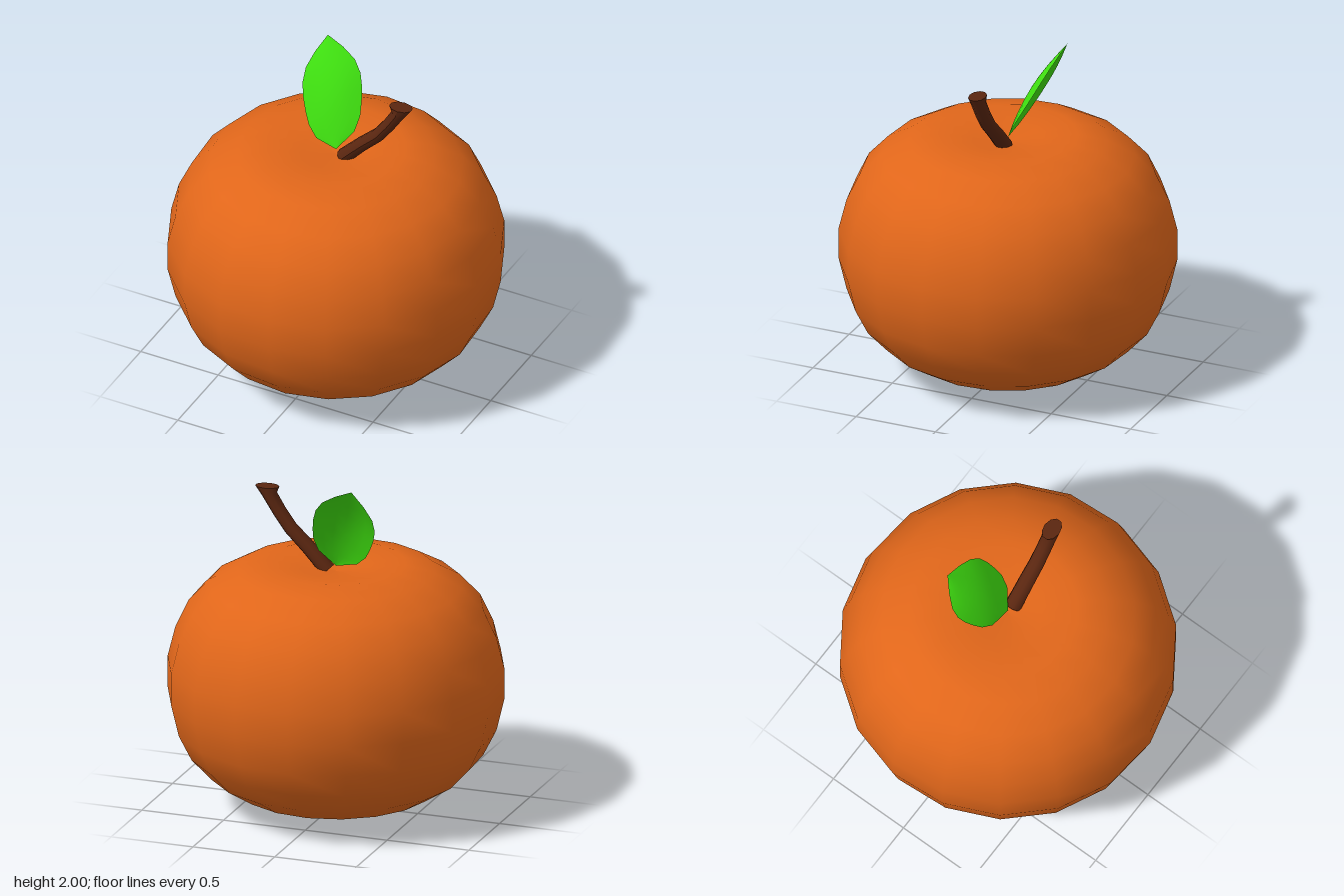
import * as THREE from 'three';

const material = (color, side = THREE.FrontSide) => {
  const m = new THREE.MeshStandardMaterial({ side });
  m.color.set(color);
  return m;
};

function addPart(group, name, geometry, mat) {
  const mesh = new THREE.Mesh(geometry, mat);
  mesh.name = name;
  group.add(mesh);
}

// Squat fruit with a shallow dimple at the top
function fruitGeometry() {
  const profile = [
    [0, 0], [0.2, 0.008], [0.38, 0.04], [0.57, 0.1], [0.73, 0.2], [0.85, 0.33],
    [0.925, 0.48], [0.97, 0.67], [0.97, 0.86], [0.925, 1.04], [0.85, 1.2],
    [0.73, 1.33], [0.57, 1.42], [0.4, 1.46], [0.2, 1.435], [0, 1.41],
  ].map(([r, y]) => new THREE.Vector2(r, y));
  return new THREE.LatheGeometry(profile, 18, THREE.MathUtils.degToRad(4));
}

// Leaning stem: a cylinder whose rings follow a bent path and flare at the tip
function stemGeometry() {
  // x, y, half width across the bend, half width in z, ring tilt
  const rings = [
    [0.05, 1.41, 0.045, 0.05, -0.75],
    [0.17, 1.535, 0.042, 0.048, -0.78],
    [0.275, 1.635, 0.04, 0.046, -0.75],
    [0.345, 1.73, 0.04, 0.045, -0.58],
    [0.405, 1.825, 0.043, 0.045, -0.3],
    [0.42, 1.875, 0.072, 0.05, 0],
  ];
  const n = rings.length - 1;
  const geometry = new THREE.CylinderGeometry(1, 1, 1, 10, n);
  const pos = geometry.attributes.position;
  for (let i = 0; i < pos.count; i++) {
    const [cx, cy, w, d, tilt] = rings[Math.round((pos.getY(i) + 0.5) * n)];
    const across = pos.getX(i) * w;
    pos.setXYZ(i, cx + across * Math.cos(tilt), cy + across * Math.sin(tilt), pos.getZ(i) * d);
  }
  geometry.computeVertexNormals();
  return geometry;
}

// Pointed leaf: a grid narrowed to its outline and domed towards the front
function leafGeometry() {
  const halfWidths = [0, 0.115, 0.155, 0.17, 0.178, 0.175, 0.148, 0.085, 0];
  const rows = halfWidths.length - 1;
  const base = new THREE.Vector3(0, 1.44, 0);
  const axis = new THREE.Vector3(-0.2, 0.56, -0.283);
  const across = new THREE.Vector3(0.94, 0.342, -0.25);
  const normal = across.clone().cross(axis).normalize();
  const geometry = new THREE.PlaneGeometry(2, 1, 6, rows);
  const pos = geometry.attributes.position;
  const p = new THREE.Vector3();
  for (let i = 0; i < pos.count; i++) {
    const u = pos.getX(i);
    const t = pos.getY(i) + 0.5;
    const half = halfWidths[Math.round(t * rows)];
    const dome = (0.04 - 0.05 * u * u) * Math.sin(Math.PI * t);
    p.copy(base).addScaledVector(axis, t).addScaledVector(across, u * half).addScaledVector(normal, dome);
    pos.setXYZ(i, p.x, p.y, p.z);
  }
  geometry.computeVertexNormals();
  return geometry;
}

export function createModel() {
  const group = new THREE.Group();
  group.name = 'fruit';
  addPart(group, 'body', fruitGeometry(), material(0xe0661a));
  addPart(group, 'stem', stemGeometry(), material(0x5a2610));
  addPart(group, 'leaf', leafGeometry(), material(0x3fe010, THREE.DoubleSide));
  return group;
}
